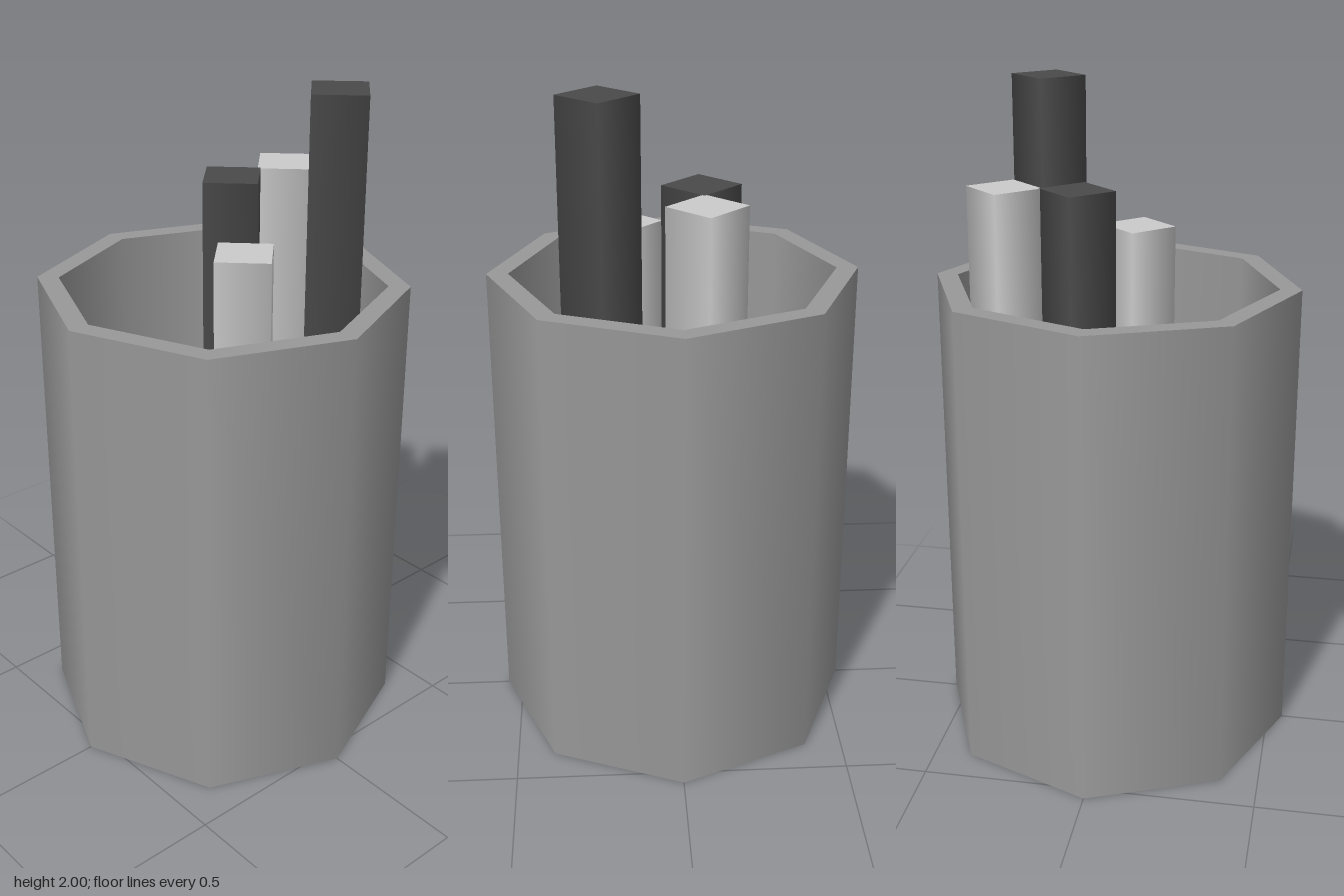
import * as THREE from 'three';

const SIDES = 8;
const HEIGHT = 1.43;
const FLOOR = 0.07;

// One ring of the cup's cross-section; separate rings keep the rims sharp.
function ring(name, material, from, to) {
  const points = [new THREE.Vector2(...from), new THREE.Vector2(...to)];
  const mesh = new THREE.Mesh(new THREE.LatheGeometry(points, SIDES), material);
  mesh.name = name;
  return mesh;
}

export function createModel() {
  const model = new THREE.Group();
  model.name = 'pencilCup';

  const cupMaterial = new THREE.MeshStandardMaterial({ color: 0x999999 });
  const light = new THREE.MeshStandardMaterial({ color: 0xcccccc });
  const dark = new THREE.MeshStandardMaterial({ color: 0x4a4a4a });

  // Eight-sided hollow cup, slightly tapered inside
  const cup = new THREE.Group();
  cup.name = 'cup';
  cup.add(
    ring('cupBottom', cupMaterial, [0, 0], [0.548, 0]),
    ring('cupOuterWall', cupMaterial, [0.548, 0], [0.548, HEIGHT]),
    ring('cupRim', cupMaterial, [0.548, HEIGHT], [0.484, HEIGHT]),
    ring('cupInnerWall', cupMaterial, [0.484, HEIGHT], [0.475, FLOOR]),
    ring('cupFloor', cupMaterial, [0.475, FLOOR], [0, FLOOR])
  );
  model.add(cup);

  // Four-sided pencils standing on the cup floor: x, z, top height, material
  const pencils = [
    [-0.043, 0.143, 1.57, light],
    [0.1, -0.073, 1.715, dark],
    [0.314, -0.073, 1.715, light],
    [0.243, 0.214, 2, dark],
  ];
  pencils.forEach(([x, z, top, material], i) => {
    const length = top - FLOOR;
    const pencil = new THREE.Mesh(new THREE.CylinderGeometry(0.113, 0.113, length, 4), material);
    pencil.position.set(x, FLOOR + length / 2, z);
    pencil.name = `pencil${i + 1}`;
    model.add(pencil);
  });

  return model;
}
